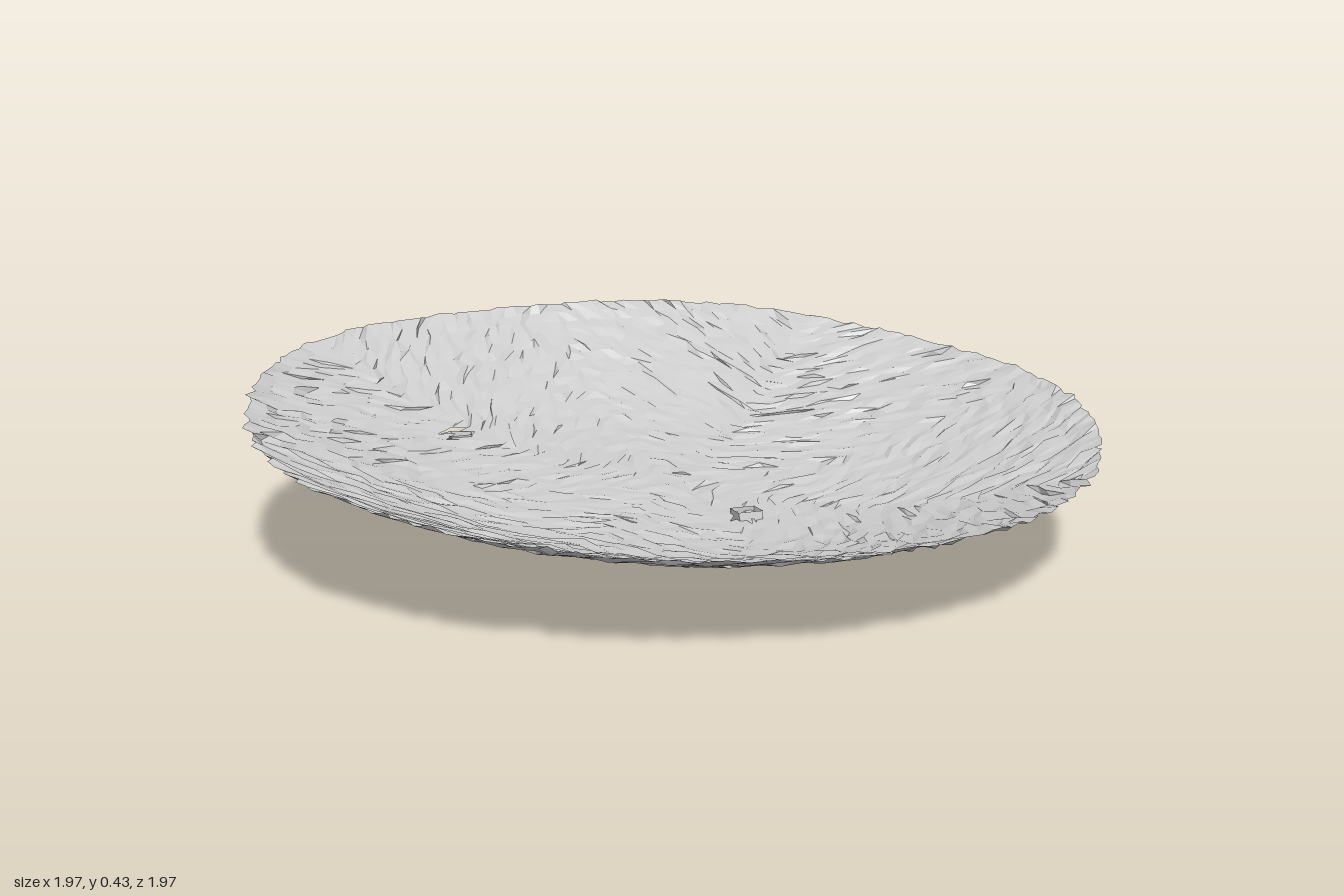
import * as THREE from 'three';

const material = new THREE.MeshStandardMaterial({ color: 0xcccccc, flatShading: true, side: THREE.DoubleSide });

// Small seeded random number in -1..1
let seed = 7;
const rand = () => {
  seed = (seed * 16807) % 2147483647;
  return (seed / 2147483647) * 2 - 1;
};

// Depth of the bowl below its rim, by relative radius
const PROFILE = [[0, 0.205], [0.2, 0.205], [0.4, 0.195], [0.55, 0.17], [0.7, 0.122], [0.85, 0.068], [0.93, 0.035], [1, 0]];
function bowlDepth(r) {
  for (let i = 1; i < PROFILE.length; i++) {
    const [r0, d0] = PROFILE[i - 1], [r1, d1] = PROFILE[i];
    if (r <= r1) return d0 + ((d1 - d0) * (r - r0)) / (r1 - r0);
  }
  return 0;
}

// Tilted dish: lower in front, deepest slightly towards -x
function dishHeight(x, z, r) {
  const shift = 0.08 * (1 - r);
  const rr = Math.min(1, Math.hypot(x + shift, z));
  return 0.318 - 0.12 * z - bowlDepth(rr);
}

const HOLES = [[0.07, 0.265, 0.027], [-0.43, -0.37, 0.03]];

// Thin rough sheet: a square grid wrapped onto a disc, leaving two small holes
function dishGeometry() {
  const n = 56, pos = [], index = [];
  for (let j = 0; j <= n; j++) {
    for (let i = 0; i <= n; i++) {
      const a = (2 * i) / n - 1, b = (2 * j) / n - 1;
      const r = Math.max(Math.abs(a), Math.abs(b));
      let angle = 0;
      if (r > 0) angle = Math.abs(a) >= Math.abs(b)
        ? (Math.PI / 4) * (b / a) + (a < 0 ? Math.PI : 0)
        : Math.PI / 2 - (Math.PI / 4) * (a / b) + (b < 0 ? Math.PI : 0);
      const R = r * (0.98 + 0.008 * Math.sin(5 * angle + 1));
      const x = R * Math.cos(angle), z = R * Math.sin(angle);
      const y = dishHeight(x, z, r) + 0.004 * rand();
      pos.push(x + 0.011 * rand(), y, z + 0.011 * rand());
    }
  }
  const addTriangle = (...t) => {
    const cx = t.reduce((s, v) => s + pos[v * 3], 0) / 3;
    const cz = t.reduce((s, v) => s + pos[v * 3 + 2], 0) / 3;
    if (!HOLES.some(([hx, hz, hr]) => Math.hypot(cx - hx, cz - hz) < hr)) index.push(...t);
  };
  for (let j = 0; j < n; j++) {
    for (let i = 0; i < n; i++) {
      const p = j * (n + 1) + i, q = p + n + 1;
      if ((i < n / 2) === (j < n / 2)) {
        addTriangle(p, q, p + 1);
        addTriangle(p + 1, q, q + 1);
      } else {
        addTriangle(p, q, q + 1);
        addTriangle(p, q + 1, p + 1);
      }
    }
  }
  const g = new THREE.BufferGeometry();
  g.setAttribute('position', new THREE.Float32BufferAttribute(pos, 3));
  g.setIndex(index);
  g.computeVertexNormals();
  return g;
}

// Open tube between two ellipses given as [x, y, z, radiusX, radiusZ]
function stub(name, top, bottom, sides) {
  const g = new THREE.CylinderGeometry(1, 1, 2, sides, 1, true, Math.PI / 4);
  const p = g.attributes.position;
  for (let i = 0; i < p.count; i++) {
    const [x, y, z, rx, rz] = p.getY(i) > 0 ? top : bottom;
    p.setXYZ(i, x + p.getX(i) * rx, y, z + p.getZ(i) * rz);
  }
  g.computeVertexNormals();
  const mesh = new THREE.Mesh(g, material);
  mesh.name = name;
  return mesh;
}

export function createModel() {
  seed = 7;
  const group = new THREE.Group();
  const dish = new THREE.Mesh(dishGeometry(), material);
  dish.name = 'dish';
  group.add(dish);

  // Short hollow peg under the dish, and a small torn lip near the back
  group.add(stub('peg', [0.07, 0.1, 0.265, 0.042, 0.034], [0.07, 0, 0.278, 0.03, 0.052], 4));
  group.add(stub('lip', [-0.43, 0.19, -0.37, 0.045, 0.035], [-0.42, 0.162, -0.37, 0.03, 0.03], 5));
  return group;
}
